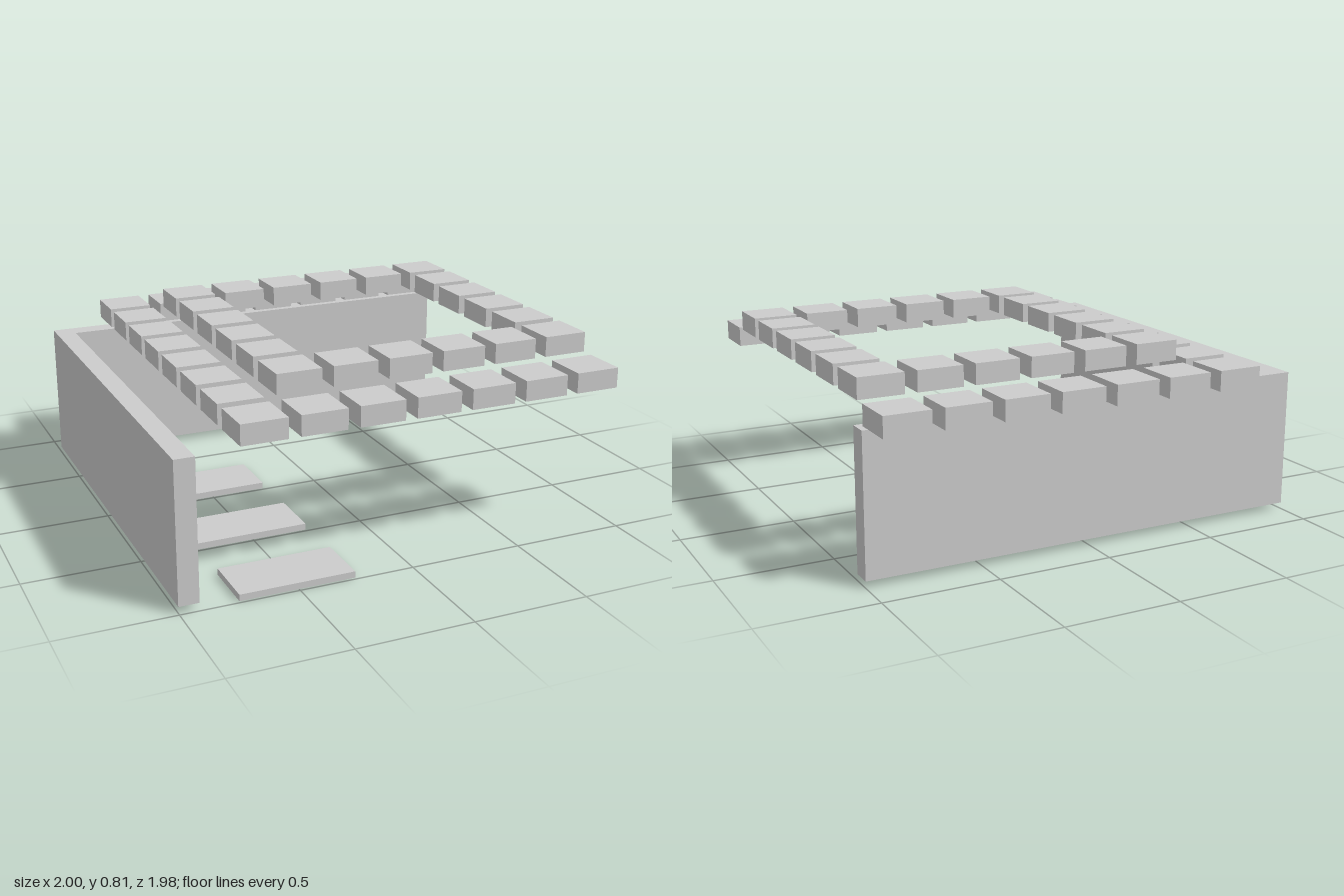
import * as THREE from 'three';

export function createModel() {
  const model = new THREE.Group();
  const grey = new THREE.MeshStandardMaterial({ color: 0xcccccc });
  grey.name = 'grey';

  // Extrudes a floor plan given as [x, z] corners between two heights.
  function addPlan(name, corners, bottom, top) {
    const shape = new THREE.Shape(corners.map(([x, z]) => new THREE.Vector2(x, z)));
    const geometry = new THREE.ExtrudeGeometry(shape, { depth: top - bottom, bevelEnabled: false });
    geometry.rotateX(Math.PI / 2).translate(0, top, 0);
    const mesh = new THREE.Mesh(geometry, grey);
    mesh.name = name;
    model.add(mesh);
  }
  const rect = (x0, x1, z0, z1) => [[x0, z0], [x1, z0], [x1, z1], [x0, z1]];

  // L-shaped wall along the back and the right side
  const wallBottom = 0.028, wallTop = 0.63;
  addPlan('wall', [
    [-1, -0.844], [1, -0.844], [1, -0.759], [-0.914, -0.759], [-0.914, 0.988], [-1, 0.988],
  ], wallBottom, wallTop);

  // Thin floor slabs
  addPlan('frontSlab', rect(-0.752, -0.255, 0.741, 0.988), 0, wallBottom);
  addPlan('middleSlab', rect(-0.752, -0.255, 0.241, 0.488), 0, wallBottom);
  addPlan('cornerSlab', [
    [-0.752, -0.508], [-0.502, -0.508], [-0.502, -0.26],
    [-0.255, -0.26], [-0.255, -0.012], [-0.752, -0.012],
  ], 0, wallBottom);

  // Roof blocks: a low outer row on three sides and a higher closed inner ring
  const pitch = 0.2505, size = 0.198, height = 0.0885;
  const blockGeometry = new THREE.BoxGeometry(size, height, size);
  const lowBlocks = new THREE.Group();
  lowBlocks.name = 'lowRoofBlocks';
  const highBlocks = new THREE.Group();
  highBlocks.name = 'highRoofBlocks';
  model.add(lowBlocks, highBlocks);

  for (let row = 0; row < 8; row++) {
    for (let col = 0; col < 7; col++) {
      const low = row === 0 || row === 7 || col === 0;
      const high = !low && (row === 1 || row === 6 || col === 1 || col === 6);
      if (!low && !high) continue;
      const block = new THREE.Mesh(blockGeometry, grey);
      block.name = 'roofBlock';
      block.position.set(-0.628 + col * pitch, wallTop + height * (low ? 0.5 : 1.5), -0.889 + row * pitch);
      (low ? lowBlocks : highBlocks).add(block);
    }
  }
  return model;
}
